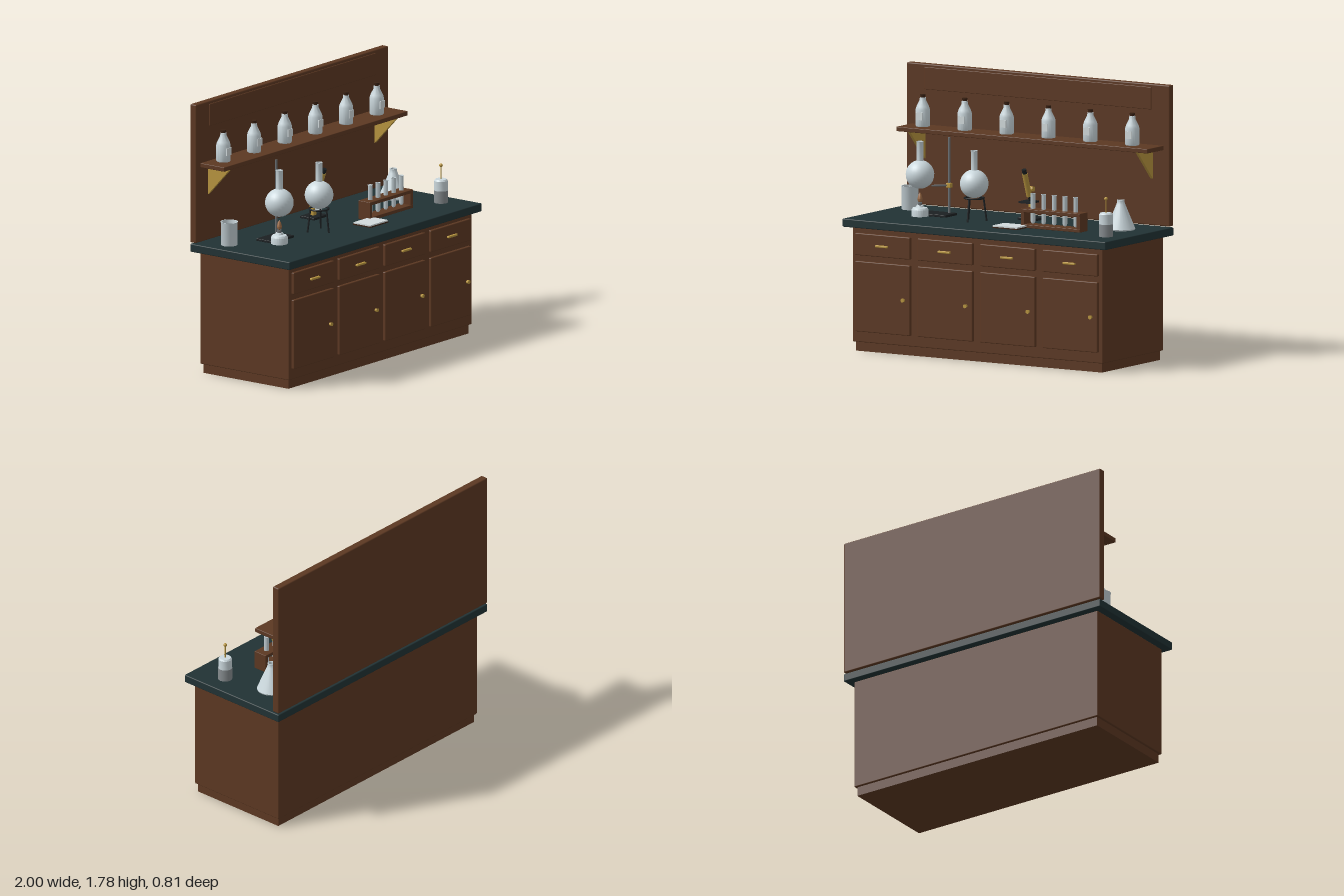
import * as THREE from 'three';
import { toCreasedNormals } from 'three/addons/utils/BufferGeometryUtils.js';
import { RoundedBoxGeometry } from 'three/addons/geometries/RoundedBoxGeometry.js';

const material = (name, color, side = THREE.FrontSide) => {
  const m = new THREE.MeshStandardMaterial({ color, side });
  m.name = name;
  return m;
};

export function createModel() {
  const wood = material('wood', 0x5c3822);
  const slate = material('slate', 0x213234);
  const glass = material('glass', 0xcbd8dd, THREE.DoubleSide);
  const liquid = material('liquid', 0x858b8e);
  const brass = material('brass', 0xb8953f);
  const iron = material('iron', 0x1c2022);
  const steel = material('steel', 0x6b7073);
  const cork = material('cork', 0x3a2214);
  const flameColor = material('flame', 0x9a6a45);
  const paper = material('paper', 0xd2dadc);

  const model = new THREE.Group();
  model.name = 'laboratoryBench';

  const add = (parent, name, geometry, mat, x = 0, y = 0, z = 0) => {
    const mesh = new THREE.Mesh(geometry, mat);
    mesh.name = name;
    mesh.position.set(x, y, z);
    parent.add(mesh);
    return mesh;
  };
  const group = (name, x, y, z) => {
    const g = new THREE.Group();
    g.name = name;
    g.position.set(x, y, z);
    model.add(g);
    return g;
  };
  // Box given by its minimum and maximum corners
  const box = (parent, name, mat, [x0, y0, z0], [x1, y1, z1], bevel = 0) => {
    const s = [x1 - x0, y1 - y0, z1 - z0];
    const geometry = bevel ? new RoundedBoxGeometry(...s, 2, bevel) : new THREE.BoxGeometry(...s);
    return add(parent, name, geometry, mat, (x0 + x1) / 2, (y0 + y1) / 2, (z0 + z1) / 2);
  };
  const lathe = (parent, name, mat, profile, sides = 20) => {
    const points = profile.map(([r, y]) => new THREE.Vector2(r, y));
    return add(parent, name, toCreasedNormals(new THREE.LatheGeometry(points, sides), 0.6), mat);
  };
  const cylinder = (parent, name, mat, r, y0, y1, x = 0, z = 0, top = r) =>
    add(parent, name, new THREE.CylinderGeometry(top, r, y1 - y0, 16), mat, x, (y0 + y1) / 2, z);
  // Round rod between two points
  const rod = (parent, name, mat, a, b, r) => {
    const path = new THREE.LineCurve3(new THREE.Vector3(...a), new THREE.Vector3(...b));
    return add(parent, name, new THREE.TubeGeometry(path, 1, r, 8), mat);
  };

  // Cabinet
  box(model, 'plinth', wood, [-0.935, 0, -0.345], [0.935, 0.062, 0.345]);
  box(model, 'cabinet', wood, [-0.95, 0.06, -0.36], [0.95, 0.802, 0.36], 0.006);
  box(model, 'worktop', slate, [-1, 0.802, -0.405], [1, 0.855, 0.405], 0.006);
  for (let i = 0; i < 4; i++) {
    const bay = group('bay', -0.7125 + i * 0.475, 0, 0);
    box(bay, 'drawerFront', wood, [-0.209, 0.623, 0.355], [0.209, 0.766, 0.38], 0.006);
    box(bay, 'door', wood, [-0.209, 0.13, 0.355], [0.209, 0.585, 0.38], 0.006);
    box(bay, 'drawerHandle', brass, [-0.046, 0.686, 0.379], [0.046, 0.7, 0.398], 0.004);
    const knob = add(bay, 'doorKnob', new THREE.CylinderGeometry(0.013, 0.01, 0.02, 12), brass, 0.163, 0.358, 0.388);
    knob.rotation.x = Math.PI / 2;
  }

  // Back board, shelf and triangular brackets
  box(model, 'backBoard', wood, [-1, 0.864, -0.405], [1, 1.776, -0.355], 0.008);
  box(model, 'raisedPanel', wood, [-0.863, 1.612, -0.36], [0.863, 1.757, -0.349], 0.004);
  box(model, 'shelf', wood, [-0.955, 1.356, -0.356], [0.955, 1.385, -0.162], 0.004);
  const triangle = new THREE.Shape([[0.355, 1.357], [0.355, 1.165], [0.175, 1.357]].map(p => new THREE.Vector2(...p)));
  for (const side of [-1, 1]) {
    const geometry = new THREE.ExtrudeGeometry(triangle, { depth: 0.018, bevelEnabled: false });
    geometry.translate(0, 0, -0.009);
    add(model, 'shelfBracket', geometry, brass, side * 0.865).rotation.y = Math.PI / 2;
  }

  // Stoppered reagent bottles with labels
  for (let i = 0; i < 6; i++) {
    const bottle = group('reagentBottle', -0.822 + i * 0.3185, 1.385, -0.272);
    lathe(bottle, 'bottleGlass', glass, [[0, 0], [0.043, 0], [0.046, 0.005], [0.046, 0.11], [0.04, 0.13],
      [0.021, 0.168], [0.019, 0.188], [0, 0.188]], 18);
    cylinder(bottle, 'stopper', cork, 0.015, 0.186, 0.207, 0, 0, 0.018);
    box(bottle, 'label', paper, [-0.024, 0.045, 0.041], [0.024, 0.094, 0.048]);
  }

  // Round flasks
  const flask = (x, y, z) => {
    const g = group('roundFlask', x, y, z);
    const profile = [];
    for (let i = 0; i <= 16; i++) {
      const a = -Math.PI / 2 + (i / 16) * 2.9;
      profile.push([Math.max(0, 0.092 * Math.cos(a)), 0.092 * Math.sin(a)]);
    }
    profile.push([0.022, 0.1], [0.022, 0.208], [0.024, 0.213], [0.02, 0.215], [0.019, 0.1]);
    lathe(g, 'flaskGlass', glass, profile, 28);
  };
  flask(-0.642, 1.125, 0.042);
  flask(-0.23, 1.096, 0.042);

  // Spirit burner under the first flask
  const burner = group('spiritBurner', -0.642, 0.855, 0.042);
  lathe(burner, 'burnerGlass', glass, [[0, 0], [0.054, 0], [0.055, 0.042], [0.047, 0.055], [0.026, 0.06], [0.022, 0.072], [0, 0.072]]);
  cylinder(burner, 'wickCollar', steel, 0.014, 0.07, 0.09);
  lathe(burner, 'flame', flameColor, [[0, 0.088], [0.013, 0.097], [0.017, 0.112], [0.01, 0.138], [0, 0.156]], 12);

  // Clamp stand
  const stand = group('clampStand', 0, 0, 0);
  box(stand, 'standBase', iron, [-0.678, 0.855, -0.118], [-0.462, 0.871, 0.02], 0.003);
  cylinder(stand, 'standRod', steel, 0.008, 0.865, 1.36, -0.505, -0.092);
  box(stand, 'clampBoss', brass, [-0.521, 1.034, -0.108], [-0.489, 1.064, -0.076], 0.003);
  rod(stand, 'clampArm', steel, [-0.505, 1.049, -0.092], [-0.59, 1.049, -0.01], 0.006);

  // Tripod under the second flask
  const tripod = group('tripod', -0.23, 0, 0.042);
  const ring = add(tripod, 'tripodRing', new THREE.TorusGeometry(0.062, 0.006, 8, 28), iron, 0, 1.004, 0);
  ring.rotation.x = Math.PI / 2;
  for (let i = 0; i < 3; i++) {
    const a = Math.PI / 2 + (i * Math.PI * 2) / 3;
    const c = Math.cos(a), s = Math.sin(a);
    rod(tripod, 'tripodLeg', iron, [0.06 * c, 1.004, 0.06 * s], [0.08 * c, 0.855, 0.08 * s], 0.006);
  }

  // Beaker
  const beaker = group('beaker', -0.867, 0.855, -0.19);
  lathe(beaker, 'beakerGlass', glass, [[0, 0], [0.052, 0], [0.054, 0.005], [0.054, 0.148], [0.057, 0.153], [0.051, 0.153], [0.05, 0.008], [0, 0.008]], 24);

  // Conical flask
  const cone = group('conicalFlask', 0.77, 0.855, -0.137);
  lathe(cone, 'conicalGlass', glass, [[0, 0], [0.089, 0], [0.093, 0.008], [0.088, 0.02], [0.028, 0.165], [0.023, 0.18],
    [0.024, 0.192], [0.019, 0.192], [0.019, 0.175], [0.075, 0.03]], 24);

  // Jar half filled with liquid, with a stirring rod
  const jar = group('dropperJar', 0.86, 0.855, 0.18);
  lathe(jar, 'jarGlass', glass, [[0.044, 0.078], [0.044, 0.143], [0.037, 0.153], [0, 0.153]]);
  cylinder(jar, 'jarLiquid', liquid, 0.046, 0, 0.08);
  cylinder(jar, 'stirringRod', brass, 0.004, 0.15, 0.24);
  add(jar, 'rodKnob', new THREE.SphereGeometry(0.012, 12, 8), brass, 0, 0.243, 0);

  // Microscope with a tube leaning forward at the top
  const scope = group('microscope', 0.041, 0.855, -0.205);
  box(scope, 'scopeBase', iron, [-0.07, 0, -0.065], [0.07, 0.016, 0.05], 0.003);
  box(scope, 'scopeArm', brass, [-0.014, 0.014, -0.032], [0.014, 0.15, 0.002]);
  box(scope, 'scopeStage', iron, [-0.045, 0.112, -0.03], [0.045, 0.124, 0.072]);
  const mirror = add(scope, 'scopeMirror', new THREE.CylinderGeometry(0.026, 0.026, 0.008, 16), glass, 0, 0.062, 0.03);
  mirror.rotation.x = 0.7;
  const tube = new THREE.Group();
  tube.name = 'scopeTube';
  tube.position.set(0, 0.14, 0.012);
  tube.rotation.x = 0.34;
  scope.add(tube);
  cylinder(tube, 'objective', iron, 0.01, -0.015, 0.02);
  cylinder(tube, 'barrel', brass, 0.018, 0.015, 0.175);
  cylinder(tube, 'eyepiece', iron, 0.015, 0.175, 0.205);
  rod(scope, 'armLink', brass, [0, 0.14, -0.015], [0, 0.21, 0.03], 0.01);
  const focus = add(scope, 'focusKnob', new THREE.CylinderGeometry(0.017, 0.017, 0.05, 16), brass, 0, 0.2, 0.004);
  focus.rotation.z = Math.PI / 2;

  // Test tube rack
  const rack = group('testTubeRack', 0.407, 0.855, 0.086);
  box(rack, 'rackBase', wood, [-0.224, 0, -0.048], [0.224, 0.022, 0.048], 0.003);
  box(rack, 'rackTop', wood, [-0.224, 0.1, -0.048], [0.224, 0.122, 0.048], 0.003);
  for (const s of [-1, 1]) {
    const x = s * 0.212;
    box(rack, 'rackEnd', wood, [x - 0.012, 0.01, -0.046], [x + 0.012, 0.115, 0.046]);
  }
  for (let i = 0; i < 5; i++) {
    const t = new THREE.Group();
    t.name = 'testTube';
    t.position.x = (i - 2) * 0.081;
    rack.add(t);
    lathe(t, 'tubeGlass', glass, [[0, 0.024], [0.01, 0.028], [0.015, 0.04], [0.015, 0.216], [0.017, 0.22], [0.012, 0.22], [0.012, 0.16], [0, 0.16]], 14);
  }

  // Notebook
  const book = group('notebook', 0.133, 0.855, 0.178);
  box(book, 'bookCover', cork, [-0.093, 0, -0.07], [0.093, 0.008, 0.07]);
  box(book, 'bookPages', paper, [-0.092, 0.008, -0.069], [0.092, 0.017, 0.069]);

  return model;
}
